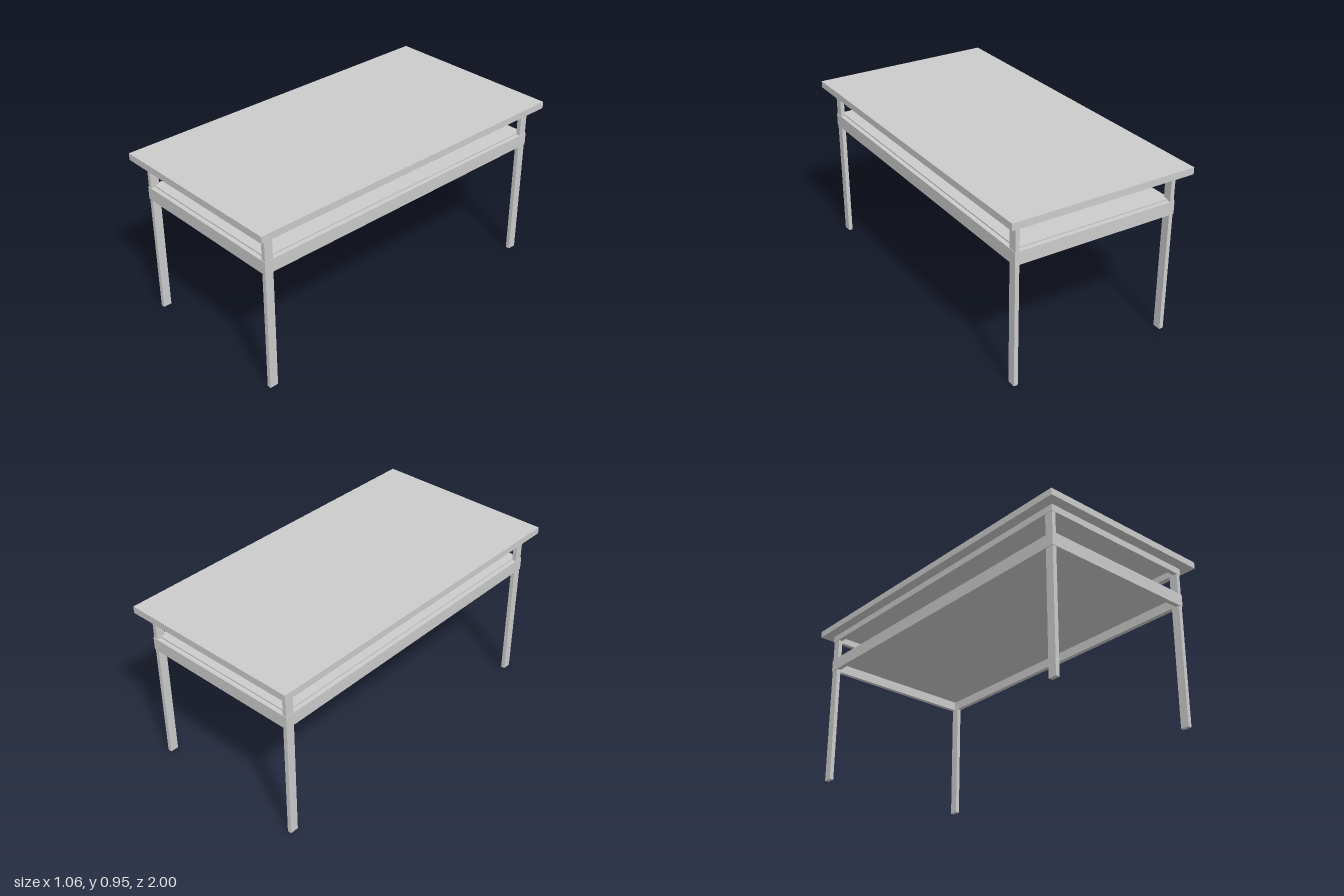
import * as THREE from 'three';

const material = new THREE.MeshStandardMaterial({ color: 0xcccccc, flatShading: true });

// Box given by its full width and depth, its vertical span and its centre
function box(name, w, d, y0, y1, x = 0, z = 0) {
  const mesh = new THREE.Mesh(new THREE.BoxGeometry(w, y1 - y0, d), material);
  mesh.position.set(x, (y0 + y1) / 2, z);
  mesh.name = name;
  return mesh;
}

// Rectangular frame of four boards, outer half-sizes hx and hz
function frame(name, hx, hz, t, y0, y1) {
  const group = new THREE.Group();
  group.name = name;
  for (const s of [-1, 1]) {
    group.add(box('endRail', 2 * hx, t, y0, y1, 0, s * (hz - t / 2)));
    group.add(box('sideRail', t, 2 * (hz - t), y0, y1, s * (hx - t / 2), 0));
  }
  return group;
}

export function createModel() {
  const table = new THREE.Group();
  table.name = 'table';

  // Overhanging top
  table.add(box('tableTop', 1.056, 2, 0.912, 0.95));

  // Rails under the top and around the shelf
  const hx = 0.472, hz = 0.943, t = 0.025;
  table.add(frame('upperFrame', hx, hz, t, 0.875, 0.912));
  table.add(frame('lowerFrame', hx, hz, t, 0.684, 0.756));

  // Shelf set inside the lower rails, standing slightly proud of them
  table.add(box('shelf', 2 * (hx - t), 2 * (hz - t), 0.738, 0.763));

  // Legs, wider along the length of the table
  for (const sx of [-1, 1]) {
    for (const sz of [-1, 1]) {
      table.add(box('leg', 0.023, 0.048, 0, 0.912, sx * 0.4575, sz * 0.916));
    }
  }
  return table;
}
